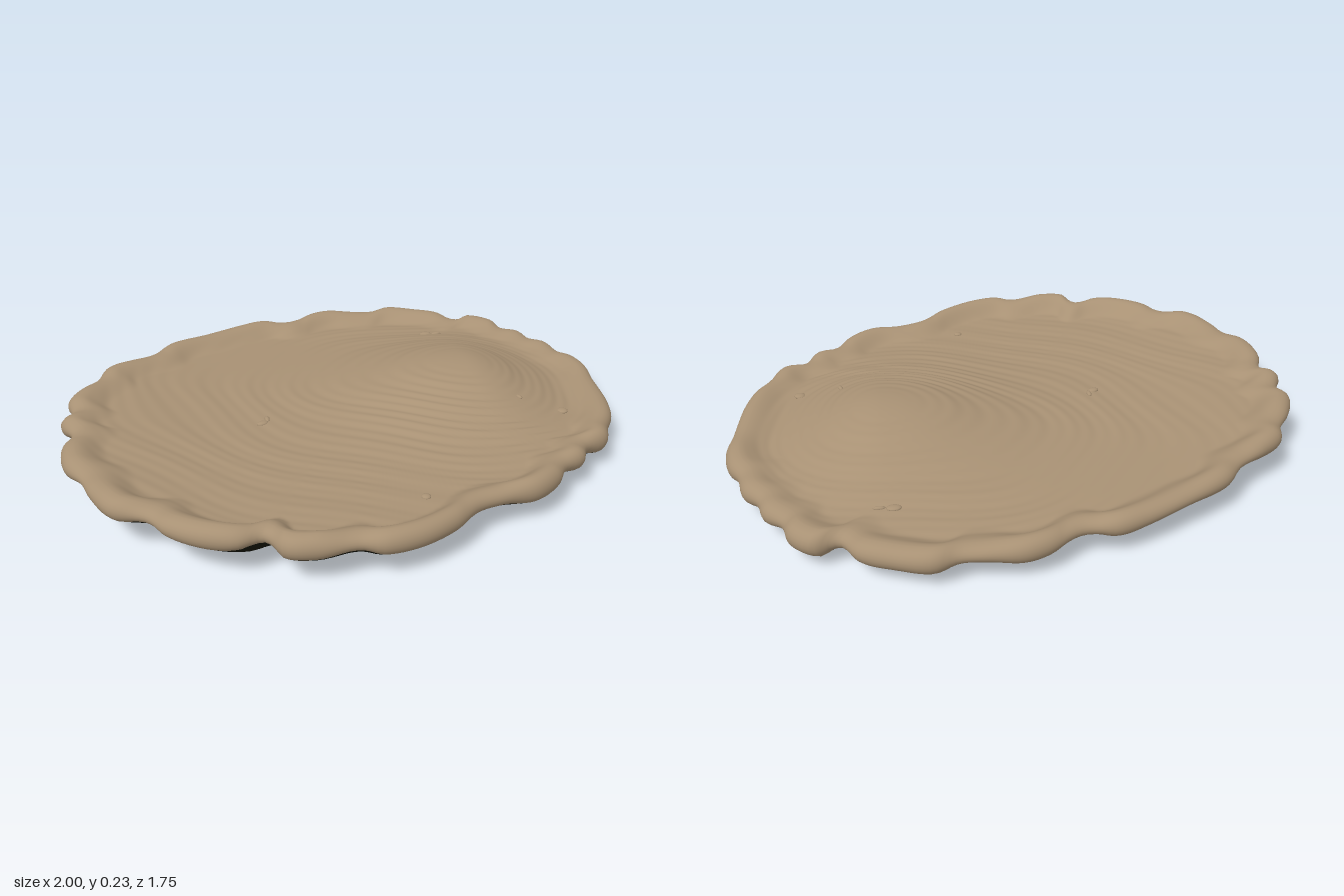
import * as THREE from 'three';

// Scalloped outline as [x, z], from the right edge round the back, left and front
const OUTLINE = [
  [1, -0.17], [0.985, -0.26], [0.95, -0.32], [0.93, -0.41], [0.88, -0.47], [0.86, -0.54], [0.8, -0.6],
  [0.78, -0.67], [0.71, -0.73], [0.63, -0.72], [0.58, -0.79], [0.49, -0.84], [0.37, -0.88], [0.29, -0.862],
  [0.2, -0.87], [0.1, -0.88], [0.02, -0.86], [-0.09, -0.8], [-0.2, -0.81], [-0.3, -0.78], [-0.45, -0.71],
  [-0.6, -0.63], [-0.67, -0.55], [-0.77, -0.49], [-0.85, -0.43], [-0.88, -0.35], [-0.94, -0.27],
  [-0.98, -0.18], [-0.965, -0.1], [-1, -0.02], [-0.96, 0.06], [-0.99, 0.15], [-0.98, 0.27], [-0.925, 0.36],
  [-0.9, 0.44], [-0.84, 0.55], [-0.73, 0.61], [-0.68, 0.68], [-0.58, 0.75], [-0.48, 0.78], [-0.4, 0.765],
  [-0.35, 0.84], [-0.25, 0.86], [-0.13, 0.85], [-0.06, 0.87], [0.06, 0.85], [0.18, 0.79], [0.28, 0.71],
  [0.38, 0.68], [0.49, 0.66], [0.58, 0.6], [0.63, 0.53], [0.71, 0.49], [0.75, 0.42], [0.84, 0.38],
  [0.88, 0.3], [0.93, 0.22], [0.96, 0.12], [0.975, 0.02], [0.985, -0.07],
];
const N = 300;

const smooth = THREE.MathUtils.smoothstep;
const lerp = THREE.MathUtils.lerp;
const bump = (x, z, cx, cz, rx, rz) => Math.exp(-(((x - cx) / rx) ** 2) - ((z - cz) / rz) ** 2);

// Rim points in order of rising angle, each with a lobe value: + on a scallop, - in a notch
function makeRim() {
  const curve = new THREE.CatmullRomCurve3(
    OUTLINE.map(([x, z]) => new THREE.Vector3(x, 0, z)).reverse(), true);
  const pts = curve.getSpacedPoints(N).slice(0, N);
  const radius = pts.map((p) => p.length());
  return pts.map((p, i) => {
    let mean = 0;
    for (let k = -9; k <= 9; k++) mean += radius[(i + k + N) % N] / 19;
    const lobe = THREE.MathUtils.clamp((radius[i] - mean) / 0.014, -1, 1);
    return { x: p.x, z: p.z, lobe };
  });
}

// Rim crest and lower lip edge, both higher at the left and front
const crest = (r) => 0.153 - 0.024 * r.x + 0.02 * r.z + 0.006 * r.lobe;
const lipEdge = (r) => 0.085 - 0.03 * r.x + 0.018 * r.z - 0.007 * r.lobe;

// Off-centre dome, 0 to 1, shared by the inner face and the hollow beneath it
const dome = (x, z) => bump(x, z, 0.47, -0.11, x < 0.47 ? 0.42 : 0.27, z < -0.11 ? 0.37 : 0.38);

// Inner face: shallow tilted bed, dome and growth ridges stretched toward the left
function bedHeight(x, z) {
  const wave = 0.014 * Math.sin(9 * x + 4 * z) + 0.01 * Math.sin(13 * z - 6 * x);
  const dx = x - 0.46;
  const d = Math.hypot(dx < 0 ? dx * 0.7 : dx, z + 0.12 - 0.15 * dx) + wave;
  const strength = 0.0008 + 0.0022 * bump(x, z, 0.45, 0.24, 0.42, 0.25);
  const ridges = strength * Math.sin(d * 150) + 0.0015 * Math.sin(d * 47);
  const bed = 0.108 - 0.022 * x + 0.018 * z + 0.02 * smooth(-x, 0.4, 0.95);
  return bed + 0.13 * dome(x, z) + ridges * smooth(d, 0.04, 0.2);
}

// Underside: hollow below the dome, lifted at the left, one low foot at the back left
const baseHeight = (x, z) =>
  0.04 + 0.04 * smooth(-x, 0.4, 1) + 0.1 * dome(x, z) - 0.041 * bump(x, z, -0.42, -0.58, 0.11, 0.12);

// Top point at fraction s from the centre to the rim
function topPoint(r, s) {
  const x = r.x * s, z = r.z * s;
  const rise = smooth(s, 0.84 + 0.012 * r.lobe, 0.95);
  return [x, lerp(bedHeight(x, z), crest(r), rise), z];
}

// Rounded lip that rolls over the edge, t from 0 to 1
function lipPoint(r, t) {
  const end = Math.PI * 0.85, a = t * end;
  const s = 0.955 + 0.045 * Math.sin(a);
  const drop = (1 - Math.cos(a)) / (1 - Math.cos(end));
  return [r.x * s, lerp(crest(r), lipEdge(r), drop), r.z * s];
}

// Underside point, t = 0 at the lip and 1 at the centre
function underPoint(r, t) {
  const [lx, ly, lz] = lipPoint(r, 1);
  const x = lx * (1 - t), z = lz * (1 - t);
  const sink = 1 - (1 - Math.min(t / 0.16, 1)) ** 2;
  return [x, lerp(ly, baseHeight(x, z), sink), z];
}

// Joins rings of points, listed from the inside outward, into one smooth surface
function ringSurface(rings, material, name) {
  const pos = rings.flat(2), index = [];
  for (let j = 0; j < rings.length - 1; j++) {
    for (let i = 0; i < N; i++) {
      const a = j * N + i, b = j * N + ((i + 1) % N), c = a + N, d = b + N;
      index.push(a, d, c, a, b, d);
    }
  }
  const geo = new THREE.BufferGeometry();
  geo.setAttribute('position', new THREE.Float32BufferAttribute(pos, 3));
  geo.setIndex(index);
  geo.computeVertexNormals();
  const mesh = new THREE.Mesh(geo, material);
  mesh.name = name;
  return mesh;
}

export function createModel() {
  const group = new THREE.Group();
  group.name = 'scallopedDish';
  const tan = new THREE.MeshStandardMaterial({ color: 0xa89174 });
  tan.name = 'warm tan';
  const dark = new THREE.MeshStandardMaterial({ color: 0x17170a });
  dark.name = 'dark olive';

  const rim = makeRim();
  const ring = (fn, t) => rim.map((r) => fn(r, t));

  // Inner face and rolled lip
  const upper = [];
  for (let j = 0; j <= 110; j++) upper.push(ring(topPoint, 0.001 + (j / 110) * 0.949));
  for (let j = 0; j <= 10; j++) upper.push(ring(lipPoint, j / 10));
  group.add(ringSurface(upper, tan, 'bowlAndRim'));

  // Underside
  const lower = [];
  for (let j = 0; j <= 40; j++) lower.push(ring(underPoint, 0.999 * (j / 40) ** 1.4));
  group.add(ringSurface(lower, dark, 'underside'));

  // Small nodules on the inner face: x, z, half length, half width, turn
  const nodules = [
    [-0.31, 0.045, 0.022, 0.014, 0.3], [-0.29, 0.02, 0.009, 0.02, 0],
    [0.46, -0.59, 0.025, 0.017, 0], [0.505, -0.585, 0.02, 0.008, 0],
    [0.76, 0.17, 0.02, 0.02, 0], [0.13, 0.61, 0.016, 0.016, 0],
    [0.61, 0.12, 0.008, 0.016, 0.4],
  ];
  for (const [x, z, a, b, turn] of nodules) {
    const nodule = new THREE.Mesh(new THREE.SphereGeometry(1, 12, 8), tan);
    nodule.name = 'nodule';
    nodule.scale.set(a, 0.007, b);
    nodule.rotation.y = turn;
    nodule.position.set(x, bedHeight(x, z), z);
    group.add(nodule);
  }
  return group;
}
